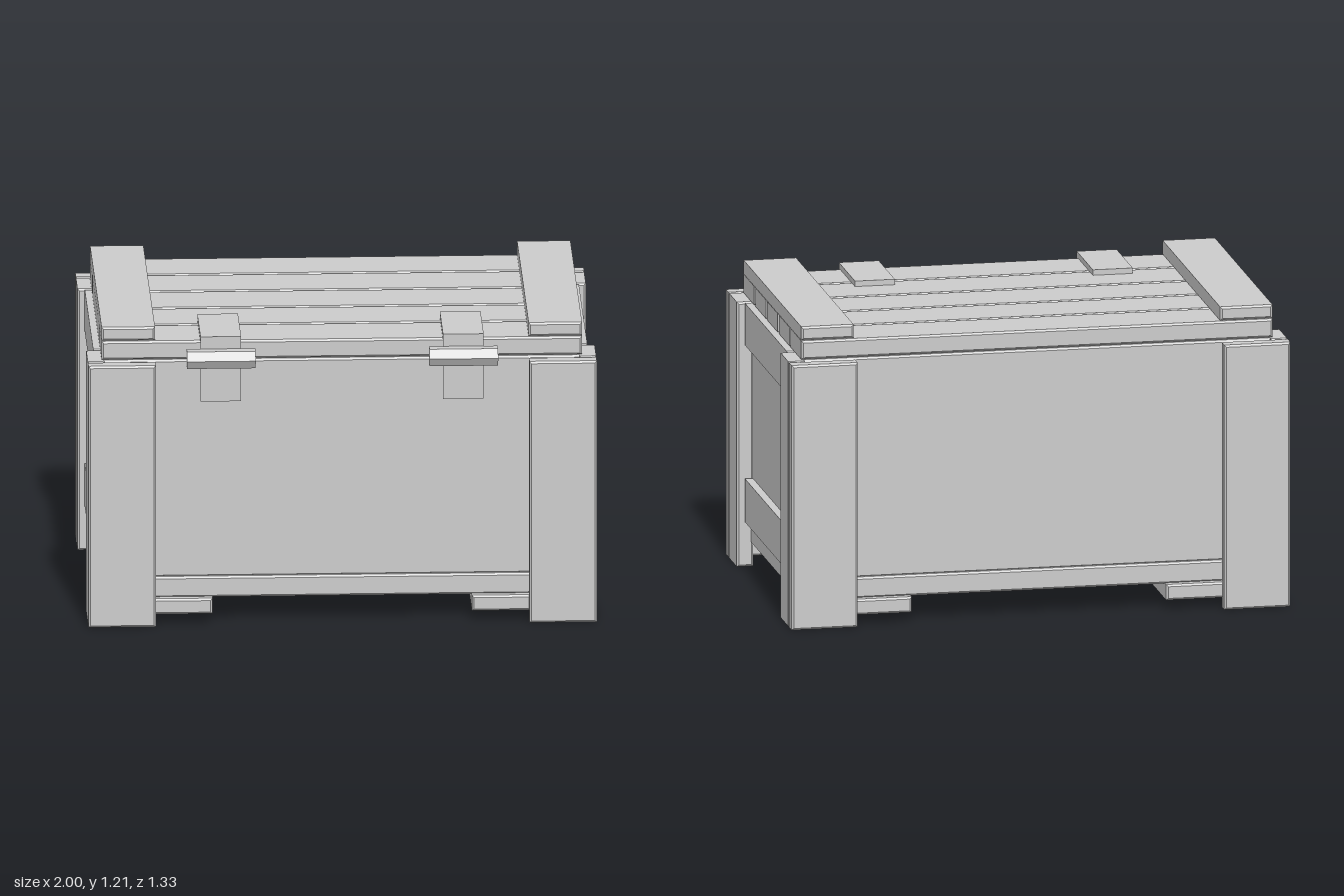
import * as THREE from 'three';

const material = new THREE.MeshStandardMaterial({ color: 0xcccccc, flatShading: true });

// Box given by its limits on each axis, with chamfered edges when c > 0
function board(name, [x0, x1], [y0, y1], [z0, z1], c = 0.008) {
  const w = x1 - x0, h = y1 - y0, d = z1 - z0;
  let geometry;
  if (c > 0) {
    const a = w / 2 - c, b = h / 2 - c;
    const shape = new THREE.Shape([
      new THREE.Vector2(-a, -b), new THREE.Vector2(a, -b),
      new THREE.Vector2(a, b), new THREE.Vector2(-a, b),
    ]);
    geometry = new THREE.ExtrudeGeometry(shape, {
      depth: d - 2 * c, bevelSize: c, bevelThickness: c, bevelSegments: 1,
    });
    geometry.translate(0, 0, c - d / 2);
  } else {
    geometry = new THREE.BoxGeometry(w, h, d);
  }
  const mesh = new THREE.Mesh(geometry, material);
  mesh.name = name;
  mesh.position.set((x0 + x1) / 2, (y0 + y1) / 2, (z0 + z1) / 2);
  return mesh;
}

// Limits on the positive or negative side of an axis
const side = (s, near, far) => (s > 0 ? [near, far] : [-far, -near]);

function createHinge(x) {
  const hinge = new THREE.Group();
  hinge.name = 'hinge';
  const width = [x - 0.08, x + 0.08];
  hinge.add(
    board('hingeLidStrap', width, [1.14, 1.17], [0.28, 0.6], 0),
    board('hingeStrapDrop', width, [1.06, 1.145], [0.575, 0.6], 0),
    board('hingeBodyPlate', width, [0.905, 1.07], [0.56, 0.6], 0),
  );
  // Hexagonal barrel lying along x, with a flat side on top
  const barrel = new THREE.Mesh(new THREE.CylinderGeometry(0.04, 0.04, 0.27, 6), material);
  barrel.name = 'hingeBarrel';
  barrel.rotation.z = Math.PI / 2;
  barrel.position.set(x, 1.087, 0.625);
  hinge.add(barrel);
  return hinge;
}

export function createModel() {
  const crate = new THREE.Group();
  crate.name = 'crate';

  // Main box and floor board
  crate.add(board('body', [-0.94, 0.94], [0.18, 1.07], [-0.575, 0.575]));
  crate.add(board('base', [-0.945, 0.945], [0.1, 0.185], [-0.59, 0.59]));

  for (const sx of [1, -1]) {
    // Corner posts, each made from two planks
    for (const sz of [1, -1]) {
      crate.add(board('cornerFacePlank', side(sx, 0.735, 1), [0, 1.07], side(sz, 0.597, 0.66)));
      crate.add(board('cornerSidePlank', side(sx, 0.935, 1), [0, 1.07], side(sz, 0.427, 0.592)));
    }
    // Rails across the end
    crate.add(board('upperRail', side(sx, 0.92, 0.972), [0.9, 1.07], [-0.42, 0.42]));
    crate.add(board('lowerRail', side(sx, 0.92, 0.972), [0.185, 0.36], [-0.42, 0.42]));
    // Skid under the floor and batten across the lid
    crate.add(board('skid', side(sx, 0.51, 0.77), [0.04, 0.103], [-0.62, 0.62]));
    crate.add(board('lidBatten', side(sx, 0.735, 0.945), [1.15, 1.205], [-0.577, 0.577]));
    crate.add(createHinge(sx * 0.477));
  }

  // Lid planks
  const pitch = 0.233;
  for (let i = -2; i <= 2; i++) {
    crate.add(board('lidPlank', [-0.945, 0.945], [1.073, 1.148],
      [i * pitch - 0.113, i * pitch + 0.113]));
  }
  return crate;
}
